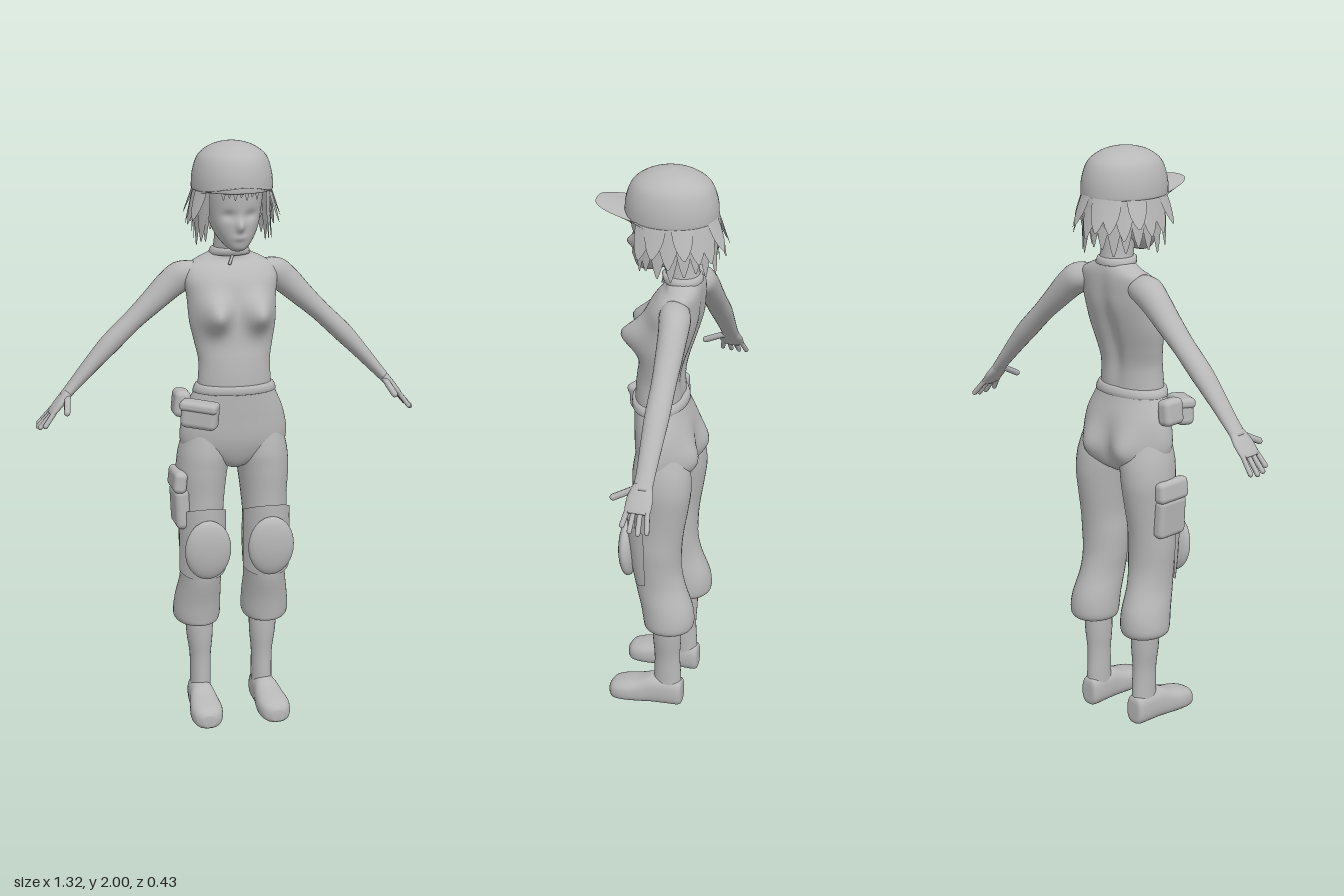
import * as THREE from 'three';
import { RoundedBoxGeometry } from 'three/addons/geometries/RoundedBoxGeometry.js';

const grey = new THREE.MeshStandardMaterial({ color: 0xb8b8b8 });
grey.name = 'plain grey';
const greySheet = new THREE.MeshStandardMaterial({ color: 0xb8b8b8, side: THREE.DoubleSide });
greySheet.name = 'plain grey sheet';

// Level cross-section given by its height and its extents in x and z
const S = (y, x0, x1, z0, z1) => [(x0 + x1) / 2, y, (z0 + z1) / 2, (x1 - x0) / 2, (z1 - z0) / 2, 0];
// Same, symmetric about x = 0
const C = (y, w, z0, z1) => S(y, -w, w, z0, z1);

// Catmull-Rom kept between its two neighbours so outlines never overshoot
function blend(a, b, c, d, t) {
  const v = 0.5 * (2 * b + (c - a) * t + (2 * a - 5 * b + 4 * c - d) * t * t + (3 * b - a - 3 * c + d) * t * t * t);
  return Math.min(Math.max(v, Math.min(b, c)), Math.max(b, c));
}

// Closed tube through elliptical sections [x, y, z, rx, rz, tilt], listed from bottom to top
function loft(sections, { segs = 24, steps = 4, power = 2, shape } = {}) {
  const pos = [], idx = [], n = sections.length, rows = (n - 1) * steps;
  const at = i => sections[Math.min(Math.max(i, 0), n - 1)];
  const mid = [];
  for (let r = 0; r <= rows; r++) {
    const i = Math.min(Math.floor(r / steps), n - 2), t = r / steps - i;
    const [x, y, z, rx, rz, tilt] = [0, 1, 2, 3, 4, 5].map(k =>
      blend(at(i - 1)[k], at(i)[k], at(i + 1)[k], at(i + 2)[k], t));
    mid.push([x, y, z]);
    for (let j = 0; j < segs; j++) {
      const a = j / segs * Math.PI * 2, c = Math.cos(a), s = Math.sin(a);
      const u = rx * Math.sign(c) * Math.abs(c) ** (2 / power), w = rz * Math.sign(s) * Math.abs(s) ** (2 / power);
      const p = new THREE.Vector3(x + u * Math.cos(tilt), y + u * Math.sin(tilt), z + w);
      if (shape) shape(p, s);
      pos.push(p.x, p.y, p.z);
    }
  }
  for (let r = 0; r < rows; r++) for (let j = 0; j < segs; j++) {
    const a = r * segs + j, c = r * segs + (j + 1) % segs;
    idx.push(a, a + segs, c, c, a + segs, c + segs);
  }
  const lo = pos.length / 3, top = rows * segs;
  pos.push(...mid[0], ...mid[rows]);
  for (let j = 0; j < segs; j++) {
    const k = (j + 1) % segs;
    idx.push(lo, j, k, lo + 1, top + k, top + j);
  }
  return finish(pos, idx);
}

// Open surface from f(u, v) -> [x, y, z], u and v in 0..1
function sheet(f, nu, nv) {
  const pos = [], idx = [];
  for (let i = 0; i <= nv; i++) for (let j = 0; j <= nu; j++) pos.push(...f(j / nu, i / nv));
  for (let i = 0; i < nv; i++) for (let j = 0; j < nu; j++) {
    const a = i * (nu + 1) + j, b = a + nu + 1;
    idx.push(a, b, a + 1, a + 1, b, b + 1);
  }
  return finish(pos, idx);
}

function finish(pos, idx) {
  const g = new THREE.BufferGeometry();
  g.setAttribute('position', new THREE.Float32BufferAttribute(pos, 3));
  g.setIndex(idx);
  g.computeVertexNormals();
  return g;
}

function mirrored(geo) {
  const g = geo.index ? geo.clone() : geo.toNonIndexed();
  g.scale(-1, 1, 1);
  if (!g.index) g.setIndex([...Array(g.attributes.position.count).keys()]);
  const a = g.index.array;
  for (let i = 0; i < a.length; i += 3) [a[i], a[i + 1]] = [a[i + 1], a[i]];
  return g;
}

function finger(from, to, r) {
  const a = new THREE.Vector3(...from), b = new THREE.Vector3(...to), d = b.clone().sub(a);
  const q = new THREE.Quaternion().setFromUnitVectors(new THREE.Vector3(0, 1, 0), d.clone().normalize());
  const g = new THREE.CapsuleGeometry(r, d.length(), 4, 8);
  g.applyQuaternion(q);
  return g.translate(...a.add(b).multiplyScalar(0.5).toArray());
}

function box(w, h, d, r, rot, at) {
  const g = new RoundedBoxGeometry(w, h, d, 3, r);
  g.rotateZ(rot[2]).rotateX(rot[0]).rotateY(rot[1]);
  return g.translate(...at);
}

const hill = (x, y, cx, cy, sx, sy) => Math.exp(-(((x - cx) / sx) ** 2) - ((y - cy) / sy) ** 2);

export function createModel() {
  const model = new THREE.Group();
  model.name = 'figure';
  const add = (name, geo, mat = grey) => {
    const m = new THREE.Mesh(geo, mat);
    m.name = name;
    model.add(m);
  };
  const pair = (name, geo, mat) => {
    add(name + 'Left', geo, mat);
    add(name + 'Right', mirrored(geo), mat);
  };

  // Upper body with neck
  add('torso', loft([
    C(1.14, .128, -.08, .08), C(1.2, .125, -.078, .085), C(1.27, .122, -.078, .08), C(1.33, .133, -.09, .07),
    C(1.4, .147, -.112, .062), C(1.48, .152, -.135, .052), C(1.54, .16, -.14, .035), C(1.58, .15, -.14, .005),
    C(1.605, .11, -.137, -.02), C(1.63, .062, -.13, -.02), C(1.66, .053, -.125, -.01), C(1.72, .052, -.12, 0),
  ], {
    segs: 64, steps: 6, shape: (p, s) => {
      const x = Math.abs(p.x);
      if (s > 0) p.z += .075 * hill(x, p.y, .075, 1.435, .046, .056) * Math.min(1, s * 2);
      else p.z += .02 * hill(x, p.y, 0, 1.38, .03, .16); // spine hollow
    },
  }));

  // Hips, with the seat rounded out at the back
  add('hips', loft([
    C(.9, .03, -.07, .03), C(.92, .09, -.095, .05), C(.96, .165, -.105, .068), C(1.01, .185, -.11, .08),
    C(1.09, .172, -.11, .085), C(1.16, .142, -.09, .088), C(1.185, .131, -.083, .09),
  ], { segs: 64, shape: (p, s) => { if (s < 0) p.z -= .045 * hill(Math.abs(p.x), p.y, .08, .99, .06, .075) * Math.min(1, -s * 2); } }));
  add('belt', loft([C(1.165, .13, -.08, .085), C(1.167, .143, -.092, .095), C(1.192, .134, -.087, .095), C(1.195, .12, -.075, .08)], { segs: 48, steps: 2 }));

  // Trouser legs, shins and shoes
  pair('trouserLeg', loft([
    S(.33, .07, .165, -.11, .01), S(.335, .05, .19, -.135, .025), S(.36, .04, .203, -.148, .03), S(.42, .04, .198, -.143, .04),
    S(.5, .042, .185, -.115, .06), S(.57, .035, .185, -.1, .065), S(.65, .032, .19, -.1, .07), S(.72, .036, .188, -.107, .065),
    S(.8, .03, .19, -.12, .065), S(.88, .02, .195, -.13, .07), S(.95, .01, .19, -.125, .072), S(1.03, .02, .17, -.1, .06),
  ], { segs: 32 }));
  pair('shin', loft([
    S(.05, .075, .148, -.103, 0), S(.12, .074, .146, -.1, -.003), S(.2, .074, .147, -.096, -.005), S(.28, .067, .158, -.1, 0), S(.37, .065, .165, -.1, 0),
  ]));
  const shoe = loft([[-.107, .05, .02, .03], [-.098, .052, .035, .051], [-.05, .056, .041, .056], [0, .056, .044, .056],
    [.05, .047, .052, .047], [.1, .041, .056, .041], [.14, .035, .045, .034], [.157, .03, .02, .02],
  ].map(([z, y, rx, ry]) => [.115 + z * .04, z, -y, rx, ry, 0]), { segs: 28, power: 2.6 });
  pair('shoe', shoe.rotateX(Math.PI / 2));

  // Knee cover wrapped round the front of the leg, with a domed pad on it
  pair('kneeCover', sheet((u, v) => {
    const a = (u - .5) * 2.7, c = Math.cos(a);
    const y = THREE.MathUtils.lerp(.735 + .04 * c, .545 - .035 * c, v);
    return [.112 + .084 * Math.sin(a), y, -.01 + (.1 - .03 * v * v) * c];
  }, 16, 8), greySheet);
  const pad = new THREE.SphereGeometry(1, 28, 18).scale(.08, .105, .03).rotateX(.05);
  pair('kneePad', pad.translate(.11, .63, .088));

  // Thigh pockets and belt pouches
  pair('thighPocket', box(.05, .14, .125, .02, [0, 0, -.05], [.187, .765, -.01]));
  pair('thighPocketFlap', box(.045, .075, .135, .018, [0, 0, .1], [.195, .86, -.01]));
  pair('frontPouch', box(.125, .085, .06, .02, [0, .5, .08], [.138, 1.105, .095]));
  pair('frontPouchFlap', box(.13, .035, .066, .015, [0, .5, .08], [.139, 1.138, .097]));
  pair('sidePouch', box(.055, .09, .085, .02, [0, 0, .1], [.183, 1.13, -.003]));

  // Arms, hands and fingers
  const T = .75;
  pair('arm', loft([
    [.565, 1.148, -.095, .016, .032, T], [.53, 1.187, -.097, .02, .031, T], [.46, 1.265, -.097, .028, .036, T],
    [.4, 1.328, -.097, .034, .04, T], [.33, 1.395, -.097, .034, .04, T], [.26, 1.46, -.095, .041, .044, T],
    [.2, 1.516, -.092, .049, .048, T], [.15, 1.55, -.085, .054, .052, .85], [.1, 1.56, -.075, .045, .045, 1],
  ]));
  pair('palm', loft([
    [.612, 1.092, -.092, .009, .038, T], [.602, 1.104, -.092, .012, .043, T], [.58, 1.13, -.093, .015, .043, T], [.55, 1.165, -.095, .017, .03, T],
  ]));
  [[-.124, -.134, .647, 1.052], [-.101, -.106, .652, 1.047], [-.08, -.078, .649, 1.05], [-.06, -.05, .635, 1.06]]
    .forEach(([z0, z1, x, y], i) => pair('finger' + (i + 1), finger([.602, 1.104, z0], [x, y, z1], .0085)));
  pair('thumb', finger([.555, 1.152, -.075], [.568, 1.115, -.002], .011));

  // Head with brow, nose and lips
  add('head', loft([
    C(1.648, .018, .03, .07), C(1.66, .036, -.01, .085), C(1.69, .06, -.065, .092), C(1.73, .079, -.1, .095),
    C(1.78, .09, -.13, .097), C(1.83, .098, -.15, .1), C(1.88, .1, -.15, .1), C(1.94, .08, -.13, .07),
  ], {
    segs: 72, steps: 7, power: 2.2, shape: (p, s) => {
      if (s <= 0) return;
      const x = Math.abs(p.x);
      p.z += .024 * hill(x, p.y, 0, 1.733, .011, .02) + .007 * hill(x, p.y, 0, 1.695, .02, .01)
        - .012 * hill(x, p.y, .036, 1.768, .022, .016);
    },
  }));
  add('choker', loft([C(1.618, .06, -.13, -.02), C(1.62, .07, -.138, -.008), C(1.64, .064, -.134, -.002), C(1.643, .05, -.12, -.015)], { steps: 2 }));
  pair('chokerTie', box(.01, .035, .008, .003, [-.3, 0, .4], [.01, 1.607, -.002]));

  // Cap dome and brim
  add('capDome', loft([[1.842, .97], [1.85, 1], [1.9, .97], [1.95, .84], [1.98, .58], [1.994, .3], [2, .02]]
    .map(([y, k]) => [0, y, -.033, .135 * k, .153 * k, 0]), { segs: 40 }));
  add('capBrim', sheet((u, v) => {
    const a = (u - .5) * 2.5, s = Math.sin(a) / Math.sin(1.25);
    const zIn = -.035 + .152 * Math.cos(a), zOut = .04 + .175 * (1 - Math.abs(s) ** 3.2);
    return [s * (.127 - .012 * v), 1.862 + .014 * v - .03 * s * s, THREE.MathUtils.lerp(zIn, zOut, v)];
  }, 24, 8), greySheet);

  // Hair: a close under-layer, then tapered locks in two layers and a short fringe
  const hair = new THREE.Group();
  hair.name = 'hair';
  model.add(hair);
  const lock = (name, angle, width, y0, y1, flare) => {
    const m = new THREE.Mesh(sheet((u, v) => {
      const a = angle + (u - .5) * width * (1 - .9 * v ** 2.5), k = 1 + flare * v;
      return [.124 * k * Math.sin(a), THREE.MathUtils.lerp(y0, y1, v), -.035 + .145 * k * Math.cos(a)];
    }, 4, 6), greySheet);
    m.name = name;
    hair.add(m);
  };
  const under = new THREE.Mesh(sheet((u, v) => {
    const a = 1.25 + u * (Math.PI * 2 - 2.5), k = 1 + .08 * Math.sin(v * 3);
    return [.122 * k * Math.sin(a), 1.865 - v * (.125 + .012 * Math.cos(u * 60)), -.035 + .145 * k * Math.cos(a)];
  }, 60, 6), greySheet);
  under.name = 'underLayer';
  hair.add(under);
  const count = 15;
  for (let i = 0; i < count; i++) {
    const a = 1.15 + i / (count - 1) * (Math.PI * 2 - 2.3), wave = Math.sin(i * 2.4);
    lock('outerLock', a, .46, 1.865, 1.735 + .02 * wave, .27 + .05 * wave);
    lock('innerLock', a + .04, .4, 1.85, 1.675 + .015 * Math.cos(i * 1.7), .04 + .04 * wave);
  }
  for (let i = -3; i <= 3; i++) lock('fringeLock', i * .16, .17, 1.875, 1.828 - .008 * (i & 1), -.03);
  for (const s of [-1, 1]) lock('sideLock', s * 1.0, .3, 1.86, 1.68, .02);

  return model;
}
